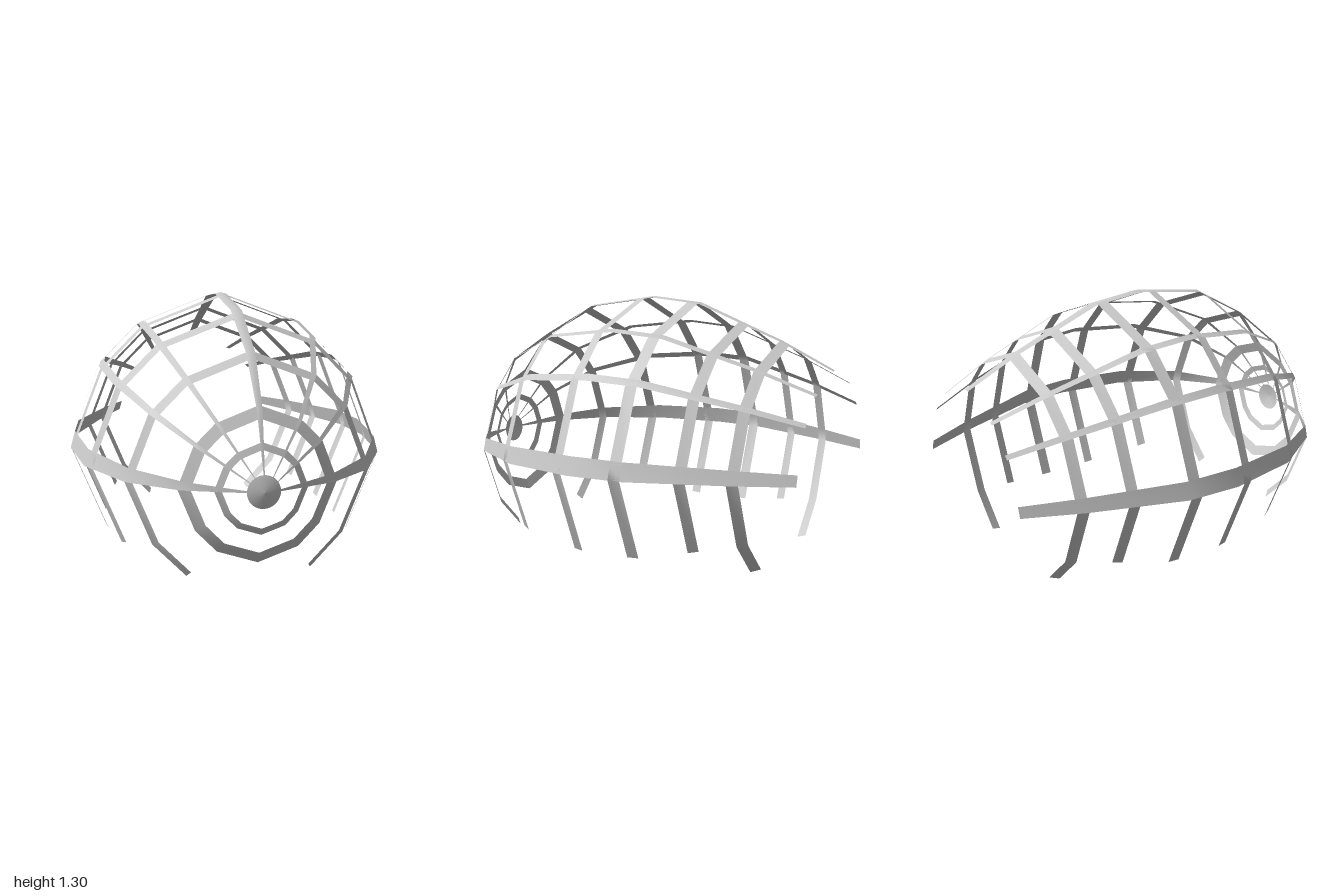
import * as THREE from 'three';

// Hull radius along the length: [z, radius], back to front
const PROFILE = [[-1, 0.47], [-0.73, 0.6], [-0.28, 0.777], [0, 0.805], [0.39, 0.75],
  [0.71, 0.58], [0.89, 0.352], [0.945, 0.195], [0.985, 0.073]];
const AXIS_Y = 0.5;
const FULL = 0.805;

// Cross-section strips on the left side (at full radius), each with lower and upper edge
const WAIST = [[0.81, 0], [0.785, 0.09]];
const LOW = [[0.65, 0.43], [0.62, 0.46]];
const HIGH = [[0.435, 0.645], [0.4, 0.66]];
const TOP = [[0.03, 0.8], [0, 0.808], [-0.03, 0.8]];

const mirror = (pts) => pts.map(([x, y]) => [-x, y]).reverse();
const material = new THREE.MeshStandardMaterial({ color: 0xcccccc, side: THREE.DoubleSide });

function radiusAt(z) {
  let i = 0;
  while (i < PROFILE.length - 2 && z > PROFILE[i + 1][0]) i++;
  const [z0, r0] = PROFILE[i], [z1, r1] = PROFILE[i + 1];
  return r0 + (r1 - r0) * (z - z0) / (z1 - z0);
}

// Thin strip of hull covering the given section points and z stations
function hullStrip(name, section, stations) {
  const pos = [], index = [], n = section.length;
  for (const z of stations) {
    const s = radiusAt(z) / FULL;
    for (const [x, y] of section) pos.push(x * s, AXIS_Y + y * s, z);
  }
  for (let j = 0; j < stations.length - 1; j++) {
    for (let i = 0; i < n - 1; i++) {
      const a = j * n + i, b = a + 1, c = a + n, d = c + 1;
      index.push(a, b, d, a, d, c);
    }
  }
  const geo = new THREE.BufferGeometry();
  geo.setAttribute('position', new THREE.Float32BufferAttribute(pos, 3));
  geo.setIndex(index);
  geo.computeVertexNormals();
  const mesh = new THREE.Mesh(geo, material);
  mesh.name = name;
  return mesh;
}

export function createModel() {
  const group = new THREE.Group();
  group.name = 'hullCage';

  // Lengthwise stringers, narrowing toward the nose
  const stations = PROFILE.map((p) => p[0]);
  group.add(hullStrip('topStringer', TOP, stations));
  for (const [name, strip] of [['waistBand', WAIST], ['lowStringer', LOW], ['highStringer', HIGH]]) {
    group.add(hullStrip(name + 'Left', strip, stations));
    group.add(hullStrip(name + 'Right', mirror(strip), stations));
  }

  // Cross ribs: [back z, front z, how many lower facets per side]
  const half = [...WAIST, ...LOW, ...HIGH];
  const arch = [...half, ...TOP, ...mirror(half)];
  const lower = [[0.64, -0.428], [0.42, -0.66], [0, -0.805]];
  const ribs = [[-0.77, -0.72, 2], [-0.55, -0.5, 1], [-0.27, -0.21, 1], [0.045, 0.095, 1],
    [0.42, 0.465, 1], [0.705, 0.735, 2], [0.88, 0.905, 3], [0.939, 0.95, 3]];
  ribs.forEach(([z0, z1, count], i) => {
    const left = lower.slice(0, count);
    const section = [...left.slice().reverse(), ...arch, ...left.map(([x, y]) => [-x, y])];
    group.add(hullStrip(count === 3 ? 'noseRing' + (i + 1) : 'rib' + (i + 1), section, [z0, z1]));
  });

  // Round nose cap
  const cap = new THREE.LatheGeometry(
    [[0.077, 0.984], [0.04, 0.995], [0, 1]].map(([r, h]) => new THREE.Vector2(r, h)), 32);
  cap.rotateX(Math.PI / 2);
  const nose = new THREE.Mesh(cap, material);
  nose.name = 'noseCap';
  nose.position.y = AXIS_Y;
  group.add(nose);

  return group;
}
